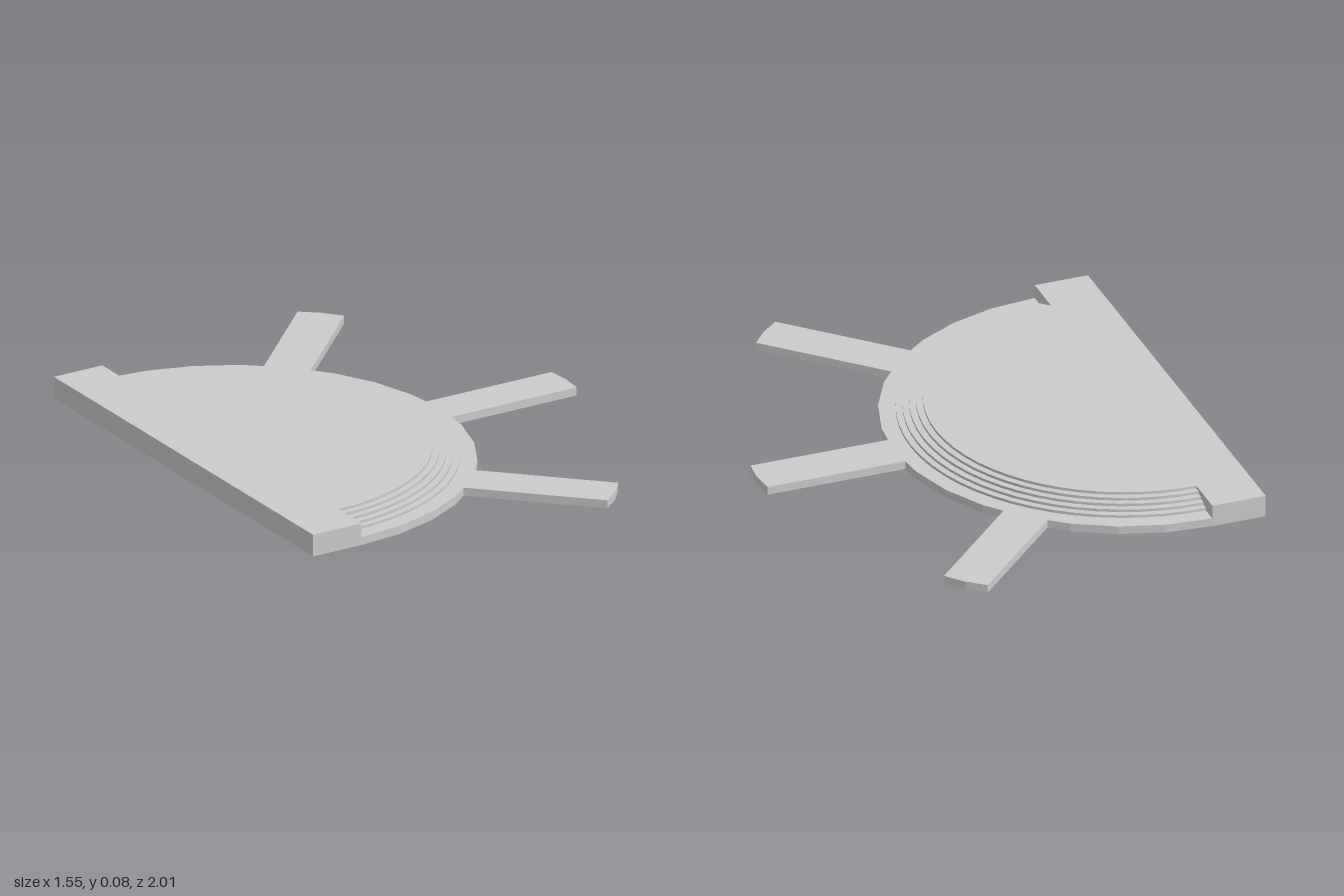
import * as THREE from 'three';

const CX = -0.577;          // centre of the half circle
const BACK = -0.773;        // straight edge
const R = 0.843;            // base plate radius
const BASE_H = 0.03, TOP_H = 0.08;

const material = new THREE.MeshStandardMaterial({ color: 0xcccccc, flatShading: true });

// Extrude a plan outline upwards from height y
function slab(name, points, y, height) {
  const geometry = new THREE.ExtrudeGeometry(new THREE.Shape(points), { depth: height, bevelEnabled: false });
  geometry.rotateX(-Math.PI / 2);
  geometry.translate(0, y, 0);
  const mesh = new THREE.Mesh(geometry, material);
  mesh.name = name;
  return mesh;
}

// Plan point given along and across a direction from the circle centre
function polar(angle, along, across = 0) {
  const c = Math.cos(angle), s = Math.sin(angle);
  return new THREE.Vector2(CX + along * c - across * s, along * s + across * c);
}

// Half disc outline with three radiating walkways
function baseOutline() {
  const points = [new THREE.Vector2(BACK, -R)];
  const half = 0.082;
  for (let i = -8; i <= 8; i++) {
    const angle = (i * Math.PI) / 16;
    if (i % 4 === 0 && Math.abs(i) < 8) {
      points.push(
        polar(angle, 0.835, -half), polar(angle, 1.342, -half),
        polar(angle, 1.35), polar(angle, 1.342, half), polar(angle, 0.835, half)
      );
    } else points.push(polar(angle, R));
  }
  points.push(new THREE.Vector2(BACK, R));
  return points;
}

function halfDisc(radius, segments) {
  const points = [];
  for (let i = 0; i <= segments; i++) points.push(polar(-Math.PI / 2 + (i * Math.PI) / segments, radius));
  return points;
}

export function createModel() {
  const group = new THREE.Group();
  group.name = 'steppedPlatform';

  group.add(slab('basePlateWithWalkways', baseOutline(), 0, BASE_H));

  // Raised bar along the straight edge
  const bar = [[BACK, -R], [CX, -R], [CX, R], [BACK, R]].map(([x, y]) => new THREE.Vector2(x, y));
  group.add(slab('rearBar', bar, BASE_H, TOP_H - BASE_H));

  // Concentric steps rising to the platform top
  const steps = new THREE.Group();
  steps.name = 'steps';
  const count = 5, rise = (TOP_H - BASE_H) / count;
  for (let i = 0; i < count; i++) {
    const radius = THREE.MathUtils.lerp(0.782, 0.69, i / (count - 1));
    steps.add(slab('step' + (i + 1), halfDisc(radius, 32), BASE_H + i * rise, rise));
  }
  group.add(steps);
  return group;
}
